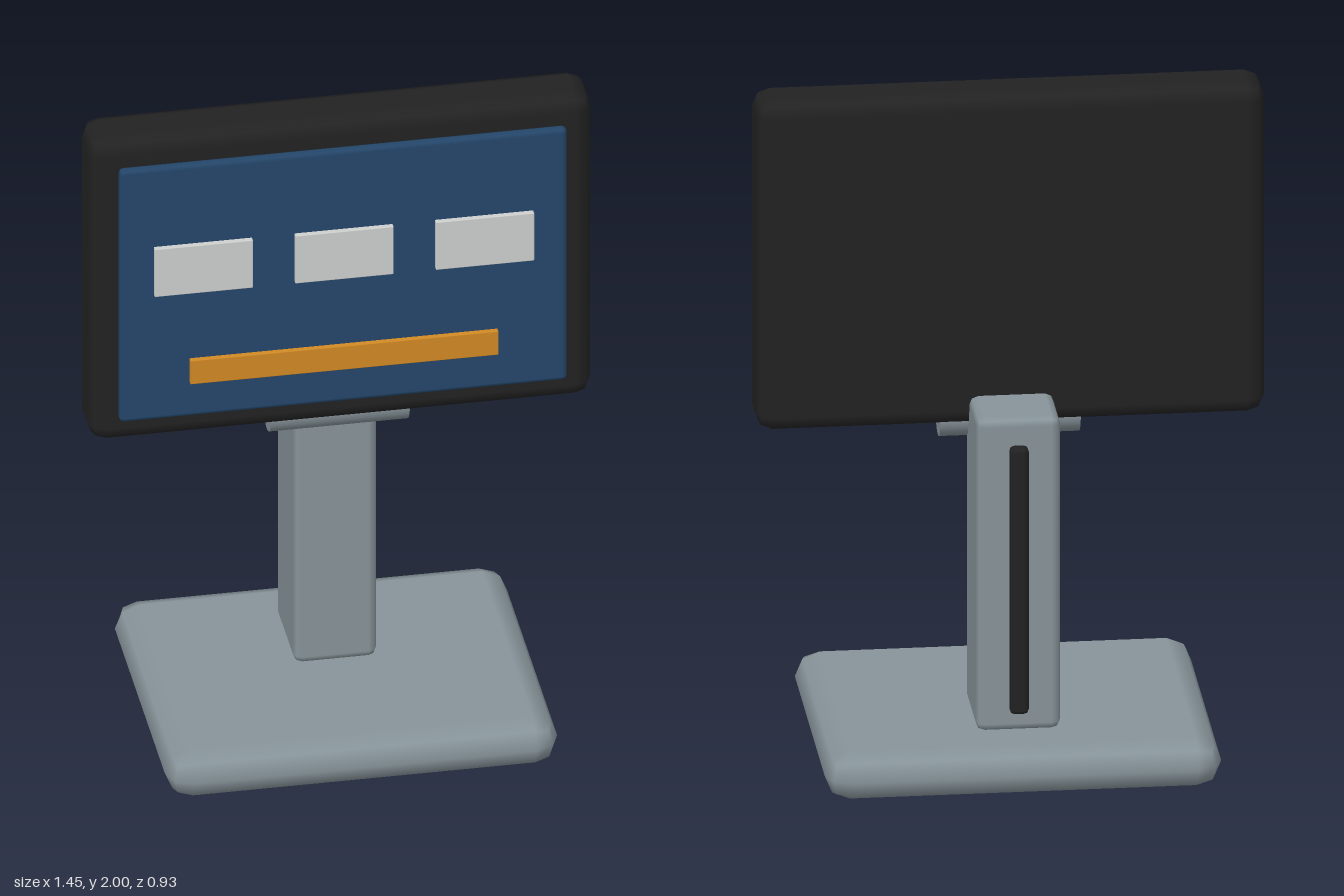
import * as THREE from 'three';

const material = (name, color) => {
  const m = new THREE.MeshStandardMaterial({ color });
  m.name = name;
  return m;
};

// Box from min to max corner, with two-step rounded edges of radius r
function bevelBox(min, max, r) {
  const g = new THREE.BoxGeometry(1, 1, 1, 3, 3, 3);
  const p = g.attributes.position;
  const lo = new THREE.Vector3(...min);
  const hi = new THREE.Vector3(...max);
  const centre = lo.clone().add(hi).multiplyScalar(0.5);
  const inner = hi.clone().sub(lo).multiplyScalar(0.5).subScalar(r);
  const v = new THREE.Vector3();
  const dir = new THREE.Vector3();
  const outer = (c) => (Math.abs(c) > 0.4 ? Math.sign(c) : 0);
  for (let i = 0; i < p.count; i++) {
    v.fromBufferAttribute(p, i);
    dir.set(outer(v.x), outer(v.y), outer(v.z)).normalize();
    v.set(Math.sign(v.x), Math.sign(v.y), Math.sign(v.z)).multiply(inner);
    v.addScaledVector(dir, r).add(centre);
    p.setXYZ(i, v.x, v.y, v.z);
    g.attributes.normal.setXYZ(i, dir.x, dir.y, dir.z);
  }
  return g;
}

export function createModel() {
  const model = new THREE.Group();
  model.name = 'displayTerminal';

  const grey = material('greyMetal', 0x87949a);
  const black = material('blackPlastic', 0x222222);
  const blue = material('blueScreen', 0x24466a);
  const white = material('paleTile', 0xcdd0ce);
  const orange = material('orangeBar', 0xd28a24);

  const add = (name, geometry, mat) => {
    const mesh = new THREE.Mesh(geometry, mat);
    mesh.name = name;
    model.add(mesh);
    return mesh;
  };

  // Stand: foot, post and the cable cover on its back
  add('base', bevelBox([-0.565, 0, -0.465], [0.565, 0.145, 0.465], 0.072), grey);
  add('post', bevelBox([-0.12, 0.14, -0.283], [0.12, 1.09, 0], 0.025), grey);
  add('cableCover', bevelBox([-0.027, 0.2, -0.312], [0.027, 1.01, -0.26], 0.014), black);

  // Hinge barrel under the display
  const hinge = add('hinge', new THREE.CylinderGeometry(0.07, 0.07, 0.4, 32), grey);
  hinge.rotation.z = Math.PI / 2;
  hinge.position.y = 1.013;

  // Display housing and screen
  add('housing', bevelBox([-0.725, 0.995, -0.09], [0.725, 2, 0.09], 0.05), black);
  add('screen', bevelBox([-0.645, 1.08, 0.088], [0.645, 1.92, 0.12], 0.014), blue);

  // Raised tiles and bar on the screen
  for (const x of [-0.405, 0, 0.405]) {
    add('tile', bevelBox([x - 0.142, 1.5, 0.118], [x + 0.142, 1.66, 0.135], 0.003), white);
  }
  add('bar', bevelBox([-0.444, 1.197, 0.118], [0.444, 1.277, 0.135], 0.003), orange);

  return model;
}
